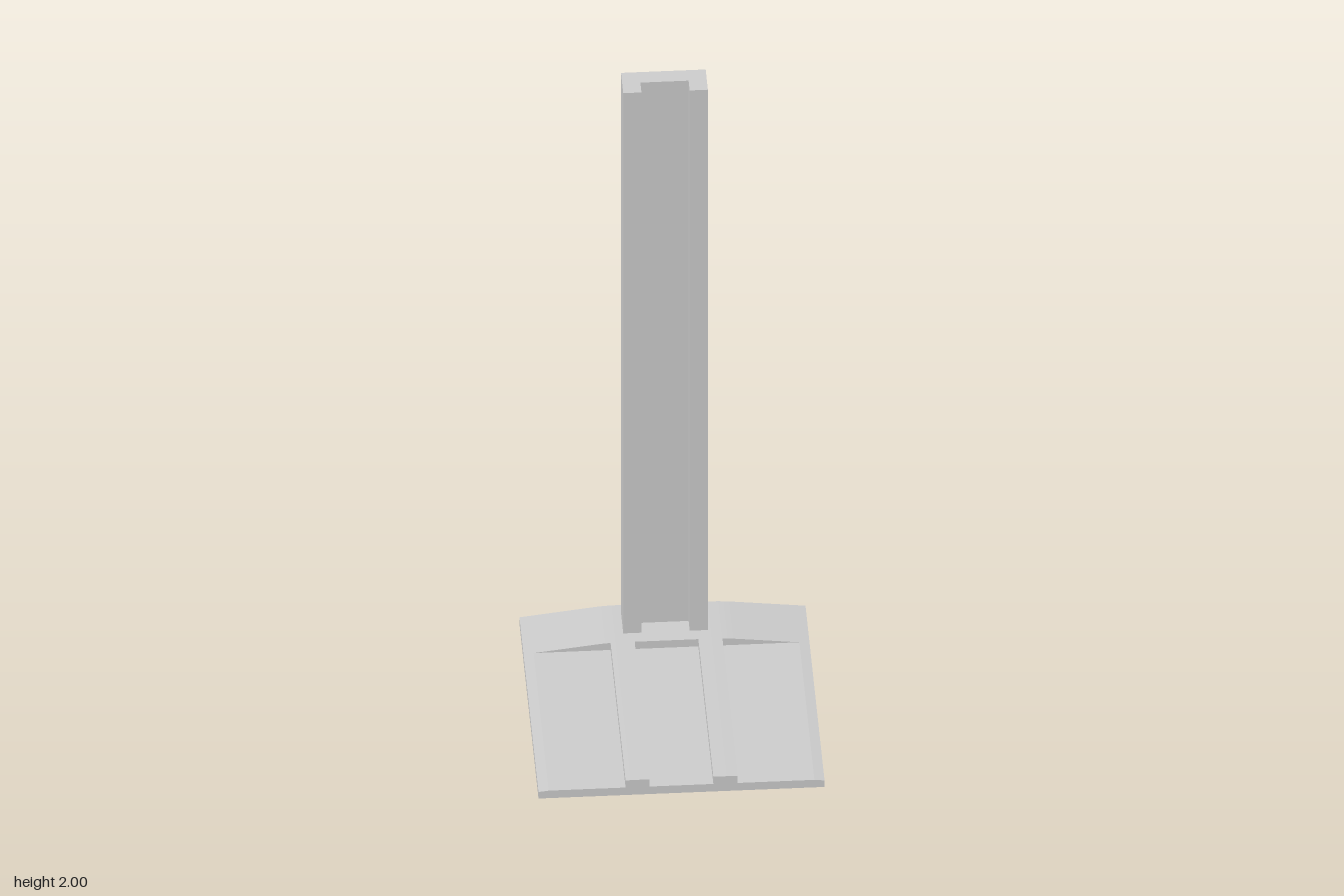
import * as THREE from 'three';

const HALF = 0.409;      // half width and depth of the base
const FLOOR = 0.027;     // height of the recessed floor
const TOP = 0.053;       // height of the raised middle
const STEP_Z = -0.235;   // front edge of the raised rear band

// Crown height: flat middle, short blend, then a straight fall to the edges
function crown(x) {
  const a = Math.abs(x), slope = 0.121;
  if (a < 0.13) return TOP;
  if (a < 0.2) return TOP - (slope * (a - 0.13) ** 2) / 0.14;
  return TOP - slope * (0.035 + a - 0.2);
}

// Extrude a list of [x, y] corners along z from z0 to z1
function prism(name, points, z0, z1, material) {
  const shape = new THREE.Shape(points.map(([x, y]) => new THREE.Vector2(x, y)));
  const geometry = new THREE.ExtrudeGeometry(shape, { depth: z1 - z0, bevelEnabled: false });
  const mesh = new THREE.Mesh(geometry.translate(0, 0, z0), material);
  mesh.name = name;
  return mesh;
}

// Cross-section from x0 to x1 with the crowned top, standing on y0
function crownedSection(x0, x1, y0, limit = Infinity) {
  const breaks = [0.13, 0.145, 0.16, 0.175, 0.19, 0.2, 0.38];
  const xs = [x0, ...breaks, ...breaks.map((b) => -b), x1]
    .filter((x) => x >= x0 && x <= x1);
  const sorted = [...new Set(xs)].sort((a, b) => b - a);
  return [[x0, y0], [x1, y0], ...sorted.map((x) => [x, Math.min(crown(x), limit)])];
}

export function createModel() {
  const model = new THREE.Group();
  model.name = 'stand';
  const grey = new THREE.MeshStandardMaterial({ color: 0xcccccc });

  // Base: raised rear band and recessed floor in front of it
  const base = new THREE.Group();
  base.name = 'base';
  base.add(
    prism('rearBand', crownedSection(-HALF, HALF, 0), -HALF, STEP_Z, grey),
    prism('floorPlate', crownedSection(-HALF, HALF, 0, FLOOR), STEP_Z, HALF, grey),
  );

  // Two ribs running from the rear band to the front edge
  base.add(
    prism('leftRib', crownedSection(0.091, 0.16, FLOOR), STEP_Z, HALF, grey),
    prism('rightRib', crownedSection(-0.16, -0.091, FLOOR), STEP_Z, HALF, grey),
  );
  model.add(base);

  // Upright column with a channel open to the front (drawn in x, -z, raised along y)
  const column = prism('column', [
    [-0.121, 0.276], [-0.069, 0.276], [-0.069, 0.322], [0.069, 0.322],
    [0.069, 0.276], [0.121, 0.276], [0.121, 0.371], [-0.121, 0.371],
  ], TOP, 2, grey);
  column.geometry.rotateX(-Math.PI / 2);
  model.add(column);

  return model;
}
